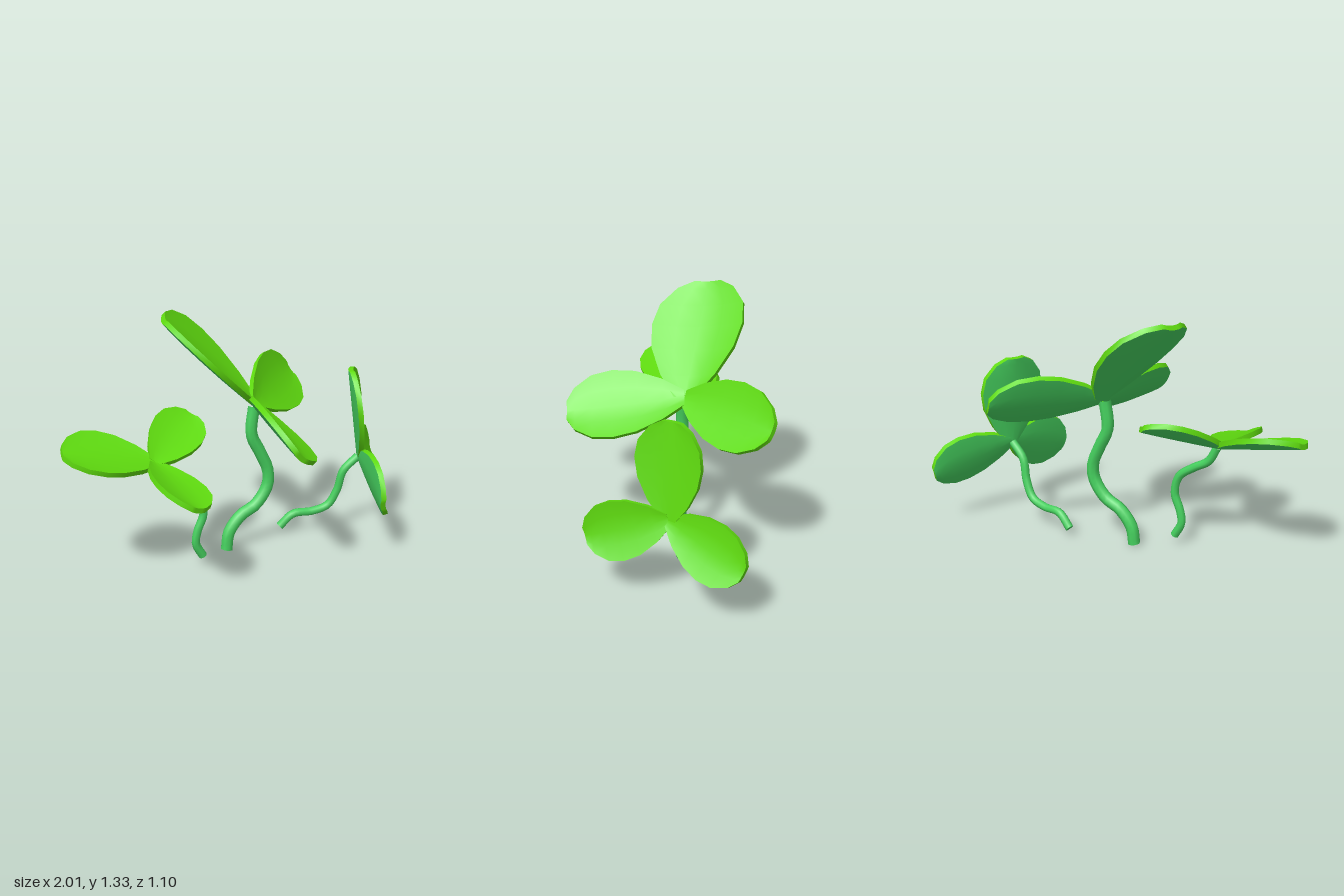
import * as THREE from 'three';

const leafTop = new THREE.MeshStandardMaterial({ color: 0x5fdb0f });
const stemGreen = new THREE.MeshStandardMaterial({ color: 0x46d15f });
const V = (a) => new THREE.Vector3(...a);

// Leaf outline: [distance along the leaf, relative half width]
const PROFILE = [[0, 0.22], [0.18, 0.6], [0.4, 0.9], [0.6, 1], [0.78, 0.92], [0.93, 0.62], [1, 0.28]];
const ACROSS = [-1, -0.5, 0, 0.5, 1];
const THICKNESS = 0.028;

// Smooth surface through rows of points; it faces (row direction) x (column direction)
function surface(rows) {
  const w = rows[0].length, index = [];
  for (let i = 0; i < rows.length - 1; i++) {
    for (let j = 0; j < w - 1; j++) {
      const a = i * w + j, b = a + w;
      index.push(a, b, b + 1, a, b + 1, a + 1);
    }
  }
  const geo = new THREE.BufferGeometry().setFromPoints(rows.flat());
  geo.setIndex(index);
  geo.computeVertexNormals();
  return geo;
}

function part(name, geometry, material) {
  const mesh = new THREE.Mesh(geometry, material);
  mesh.name = name;
  return mesh;
}

// Cupped leaf from base to tip; side is the across direction, up the side it opens to
function makeLeaf(base, up, tip, side, half) {
  const from = V(base), axis = V(tip).sub(from), dir = axis.clone().normalize();
  const s = V(side);
  s.addScaledVector(dir, -s.dot(dir) * 0.8).normalize();
  const n = dir.clone().cross(s).normalize();
  if (n.dot(V(up)) < 0) { s.negate(); n.negate(); }

  const top = PROFILE.map(([t, w]) => ACROSS.map((v) =>
    from.clone().addScaledVector(axis, t)
      .addScaledVector(s, v * w * half)
      .addScaledVector(n, 0.18 * half * w * v * v)));
  const lower = (p) => p.clone().addScaledVector(n, -THICKNESS);
  const under = top.map((row) => row.map(lower)).reverse();

  // Closed loop around the outline for the rim
  const last = top.length - 1, end = ACROSS.length - 1;
  const loop = [
    ...top.map((r) => r[0]), ...top[last].slice(1, end),
    ...top.map((r) => r[end]).reverse(), ...top[0].slice(1, end).reverse(), top[0][0],
  ];

  const leaf = new THREE.Group();
  leaf.name = 'leaf';
  leaf.add(
    part('leafTop', surface(top), leafTop),
    part('leafRim', surface(loop.map((p) => [lower(p), p])), leafTop),
    part('leafUnderside', surface(under), stemGreen),
  );
  return leaf;
}

// Wavy stem with a closed foot: x, y path points, z sliding evenly from foot to head
function makeStem(path, zFoot, zHead, radius) {
  const curve = new THREE.CatmullRomCurve3(path.map(([x, y], i) =>
    new THREE.Vector3(x, y, THREE.MathUtils.lerp(zFoot, zHead, i / (path.length - 1)))));
  const stem = new THREE.Group();
  stem.name = 'stem';
  const foot = part('stemFoot', new THREE.CircleGeometry(radius, 8), stemGreen);
  foot.position.copy(curve.getPoint(0));
  foot.quaternion.setFromUnitVectors(new THREE.Vector3(0, 0, 1), curve.getTangent(0).negate());
  stem.add(part('stemTube', new THREE.TubeGeometry(curve, 28, radius, 8), stemGreen), foot);
  return stem;
}

// One stem with leaves, each given as tip, across direction and half width
function makeClover(name, base, up, stem, ...leaves) {
  const clover = new THREE.Group();
  clover.name = name;
  clover.add(stem, ...leaves.map((leaf) => makeLeaf(base, up, ...leaf)));
  return clover;
}

export function createModel() {
  const middleStem = makeStem([[-0.085, 0.005], [-0.07, 0.1], [0, 0.19], [0.09, 0.24], [0.16, 0.34],
    [0.165, 0.43], [0.12, 0.54], [0.07, 0.65], [0.085, 0.81]], -0.04, -0.06, 0.034);
  const rightStem = makeStem([[-0.27, 0.05], [-0.31, 0.13], [-0.3, 0.2], [-0.265, 0.3],
    [-0.29, 0.4], [-0.38, 0.47], [-0.46, 0.52], [-0.51, 0.61]], 0.08, 0.09, 0.023);
  const leftStem = makeStem([[0.275, 0.045], [0.35, 0.115], [0.46, 0.12], [0.55, 0.15],
    [0.6, 0.24], [0.63, 0.36], [0.71, 0.44]], -0.13, -0.035, 0.023);

  const model = new THREE.Group();
  model.name = 'cloverPatch';
  model.add(
    makeClover('middleClover', [0.1, 0.83, -0.07], [0.7, 0.7, 0], middleStem,
      [[-0.37, 1.31, -0.17], [0, -0.17, 0.475], 0.25],
      [[0.51, 0.84, -0.52], [0.2, -0.285, 0.08], 0.18],
      [[0.09, 0.73, 0.55], [-0.27, 0.26, 0], 0.19]),
    makeClover('rightClover', [-0.53, 0.63, 0.09], [0, 1, 0], rightStem,
      [[-1, 0.735, 0.05], [0, -0.11, 0.34], 0.18],
      [[-0.22, 0.76, -0.2], [0.13, -0.13, 0.21], 0.145],
      [[-0.46, 0.54, 0.55], [0.26, -0.08, 0.02], 0.138]),
    makeClover('leftClover', [0.73, 0.45, -0.03], [1, 0.1, 0.4], leftStem,
      [[0.67, 0.95, -0.045], [0.16, 0, -0.33], 0.183],
      [[0.99, 0.32, -0.4], [0.04, -0.27, 0.12], 0.155],
      [[0.66, 0.31, 0.39], [0.08, -0.27, -0.1], 0.155]),
  );
  return model;
}
